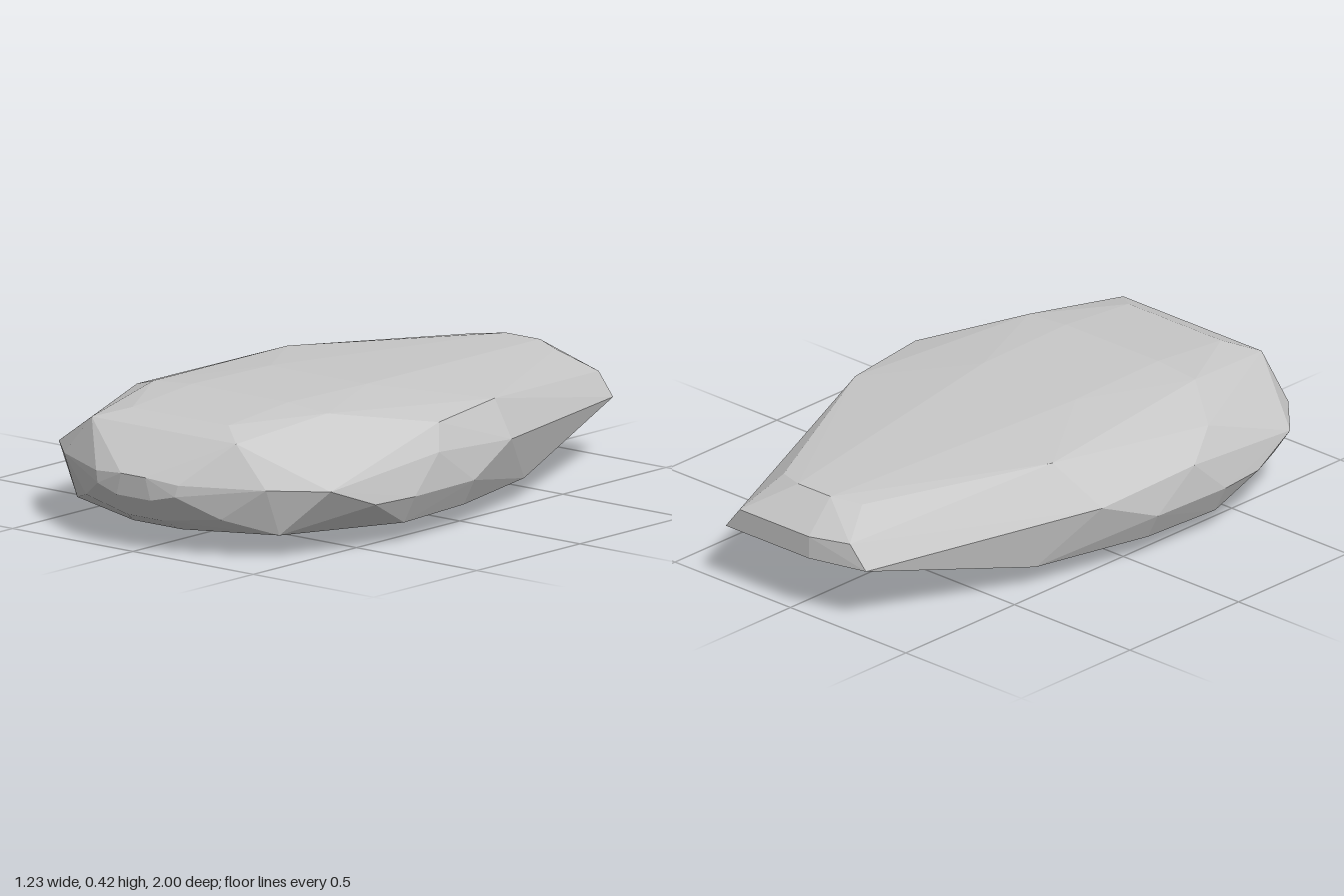
import * as THREE from 'three';
import { ConvexGeometry } from 'three/addons/geometries/ConvexGeometry.js';

export function createModel() {
  const model = new THREE.Group();
  model.name = 'stone';
  const points = [];
  const add = (x, y, z) => points.push(new THREE.Vector3(x, y, z));
  const pair = (x, y, z) => { add(x, y, z); add(-x, y, z); };

  // Blunt nose
  pair(0.07, 0.178, 0.997);
  pair(0.05, 0.25, 1);
  pair(0.16, 0.2, 0.985);
  pair(0.17, 0.238, 0.98);
  pair(0.42, 0.235, 0.845);
  pair(0.3, 0.37, 0.85);
  pair(0.07, 0.105, 0.945);
  pair(0.28, 0.13, 0.9);
  // Gently crowned top
  pair(0.2, 0.402, 0.77);
  pair(0.2, 0.427, 0.48);
  pair(0.36, 0.414, 0.48);
  pair(0.2, 0.421, 0.1);
  pair(0.07, 0.375, -0.89);
  pair(0.17, 0.365, -0.85);
  // Widest belt along the flanks
  pair(0.565, 0.228, 0.7);
  pair(0.597, 0.16, 0.52);
  pair(0.615, 0.16, 0.35);
  pair(0.604, 0.16, 0.05);
  pair(0.603, 0.28, 0.22);
  pair(0.57, 0.25, -0.17);
  // Uneven shoulders
  add(0.56, 0.362, 0.17);
  add(0.5, 0.372, -0.17);
  add(-0.54, 0.355, 0.35);
  add(-0.43, 0.39, -0.25);
  // Lower rim and underside ridge
  pair(0.1, 0.07, 0.88);
  pair(0.42, 0.08, 0.78);
  pair(0.57, 0.07, 0.35);
  pair(0.56, 0.075, 0.05);
  pair(0.46, 0.075, -0.36);
  pair(0.07, 0.004, -0.38);
  // Narrow chipped tail
  add(0.28, 0.2, -1);
  add(0.22, 0.275, -1);
  add(-0.08, 0.275, -1);
  add(-0.08, 0.2, -1);
  add(-0.28, 0.2, -0.95);
  add(-0.22, 0.28, -0.96);

  const geometry = new ConvexGeometry(points);
  geometry.translate(0, -0.004, 0);
  const stone = new THREE.MeshStandardMaterial({ color: 0xc8c8c8 });
  stone.name = 'light grey stone';
  const body = new THREE.Mesh(geometry, stone);
  body.name = 'stoneBody';
  model.add(body);
  return model;
}
